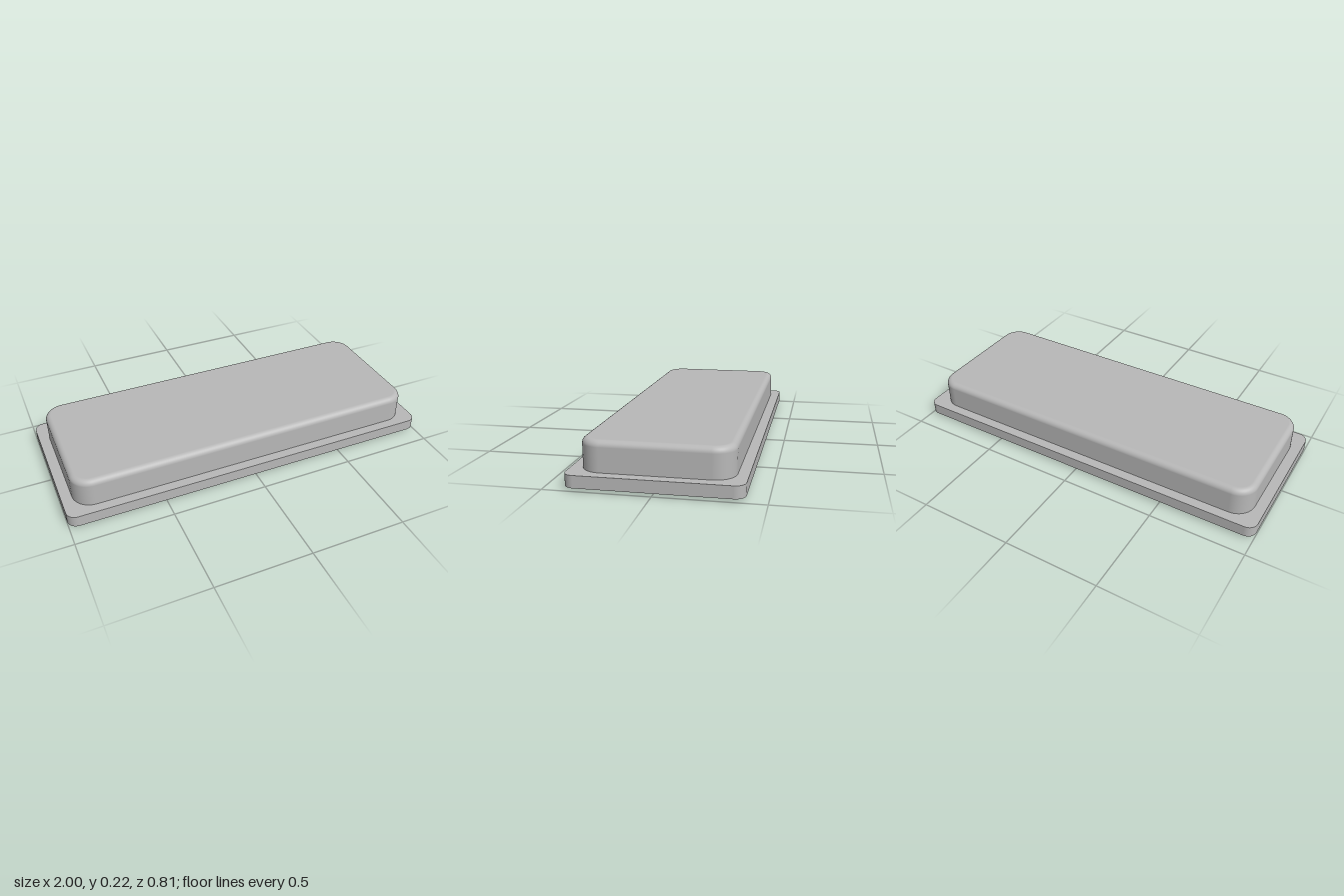
import * as THREE from 'three';

// Solid rounded-rectangle block with an optional fillet around its top edge
function roundedBlock(halfX, halfZ, corner, y0, y1, fillet = 0) {
  const arcSteps = 16, filletSteps = fillet ? 10 : 0;
  // Profile rows: inset, height, outward normal, upward normal
  const profile = [[0, y0, 0, -1], [0, y0, 1, 0], [0, y1 - fillet, 1, 0]];
  for (let i = 1; i <= filletSteps; i++) {
    const a = (i / filletSteps) * Math.PI / 2;
    profile.push([fillet * (1 - Math.cos(a)), y1 - fillet + fillet * Math.sin(a), Math.cos(a), Math.sin(a)]);
  }
  profile.push([fillet, y1, 0, 1]);

  const count = 4 * (arcSteps + 1);
  const positions = [], normals = [], index = [];
  for (const [inset, y, out, up] of profile) {
    for (let q = 0; q < 4; q++) {
      const cx = (q === 0 || q === 3 ? 1 : -1) * (halfX - corner);
      const cz = (q < 2 ? 1 : -1) * (halfZ - corner);
      for (let s = 0; s <= arcSteps; s++) {
        const a = (q + s / arcSteps) * Math.PI / 2;
        const c = Math.cos(a), d = Math.sin(a);
        positions.push(cx + c * (corner - inset), y, cz + d * (corner - inset));
        normals.push(c * out, up, d * out);
      }
    }
  }

  // Walls and fillet between consecutive rings
  const last = profile.length - 1;
  for (let r = 1; r < last - 1; r++) {
    for (let i = 0; i < count; i++) {
      const j = (i + 1) % count;
      const a = r * count + i, b = r * count + j;
      index.push(a, a + count, b, b, a + count, b + count);
    }
  }
  // Flat bottom and top
  const top = last * count;
  for (let i = 1; i < count - 1; i++) {
    index.push(0, i, i + 1);
    index.push(top, top + i + 1, top + i);
  }

  const geometry = new THREE.BufferGeometry();
  geometry.setAttribute('position', new THREE.Float32BufferAttribute(positions, 3));
  geometry.setAttribute('normal', new THREE.Float32BufferAttribute(normals, 3));
  geometry.setIndex(index);
  return geometry;
}

export function createModel() {
  const model = new THREE.Group();
  const grey = new THREE.MeshStandardMaterial({ color: 0xb8b8b8 });
  grey.name = 'grey';

  const add = (name, geometry) => {
    const mesh = new THREE.Mesh(geometry, grey);
    mesh.name = name;
    model.add(mesh);
    return mesh;
  };

  // Flange, raised cover and the small round boss underneath
  add('baseFlange', roundedBlock(1, 0.404, 0.05, 0.015, 0.074));
  add('raisedCover', roundedBlock(0.945, 0.352, 0.1, 0.074, 0.22, 0.03));
  add('bottomBoss', new THREE.CylinderGeometry(0.072, 0.072, 0.015, 64)).position.y = 0.0075;

  return model;
}
